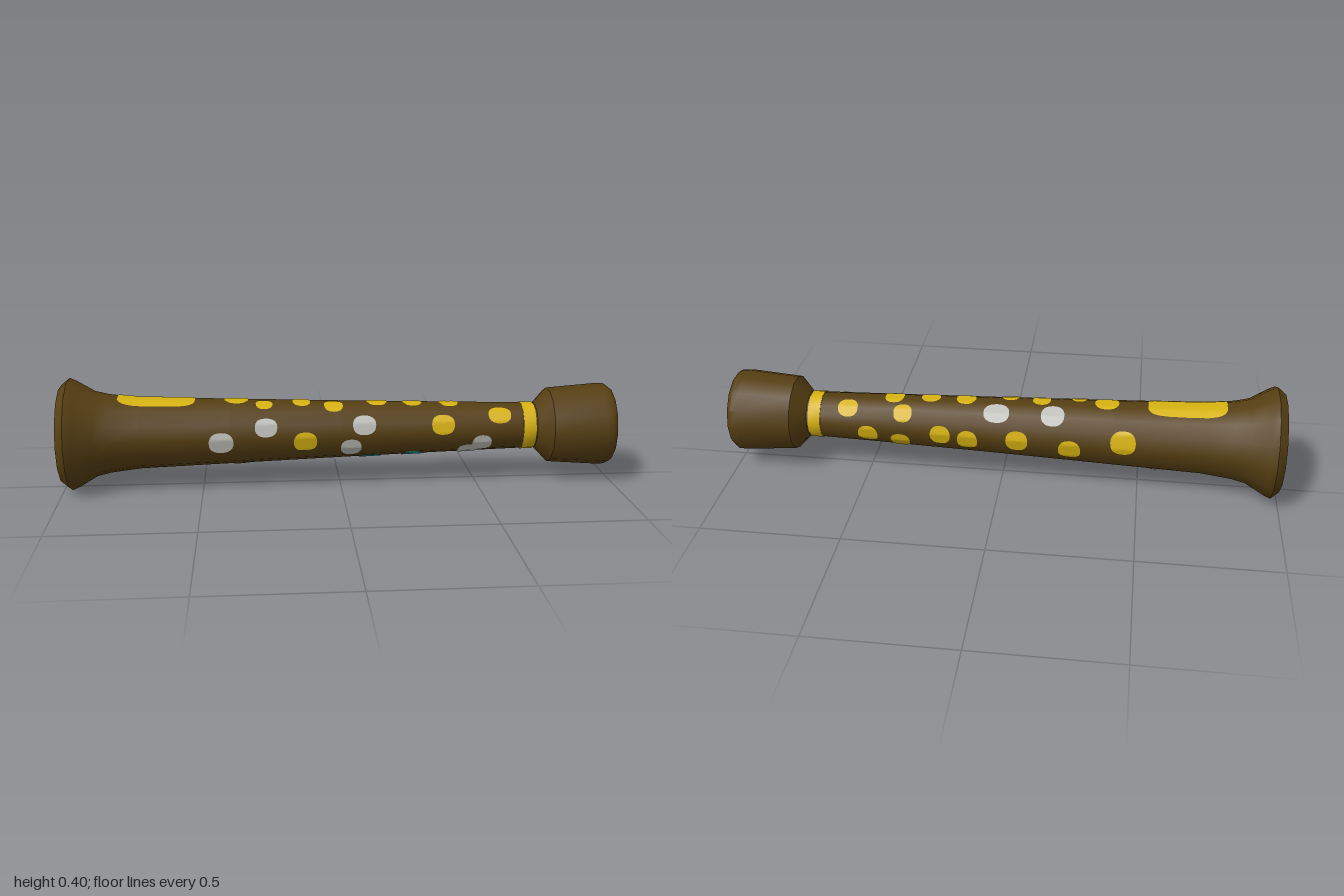
import * as THREE from 'three';
import { toCreasedNormals } from 'three/addons/utils/BufferGeometryUtils.js';

const SIDES = 14, AXIS_Y = 0.192, STEP = (Math.PI * 2) / SIDES;

// outer outline along the tube: [x, radius]
const OUTLINE = [
  [-1, 0.178], [-0.97, 0.203], [-0.945, 0.192], [-0.88, 0.154], [-0.83, 0.142], [-0.72, 0.129],
  [-0.4, 0.118], [0, 0.104], [0.4, 0.092], [0.72, 0.083],
];
const CAP = [[0.77, 0.137], [0.96, 0.151], [0.985, 0.15], [1, 0.139], [1, 0.103], [0.99, 0.094], [0.93, 0.092], [0.93, 0]];

function material(name, color) {
  const m = new THREE.MeshStandardMaterial({ color });
  m.name = name;
  return m;
}

// faceted turning along the x axis
function turned(points) {
  const g = new THREE.LatheGeometry(points.map(([x, r]) => new THREE.Vector2(r, x)), SIDES);
  g.rotateZ(-Math.PI / 2);
  return toCreasedNormals(g, 0.6);
}

function radiusAt(x) {
  let i = 0;
  while (i < OUTLINE.length - 2 && x > OUTLINE[i + 1][0]) i++;
  const [x0, r0] = OUTLINE[i], [x1, r1] = OUTLINE[i + 1];
  return r0 + ((r1 - r0) * (x - x0)) / (x1 - x0);
}

// thin patch that follows the faceted tube; angle runs from the top toward the front
function patch(x, degrees, halfLength, halfArc, power) {
  const g = new THREE.RingGeometry(0, 1, 24, 6);
  const p = g.attributes.position, centre = THREE.MathUtils.degToRad(degrees), R = radiusAt(x);
  for (let i = 0; i < p.count; i++) {
    const px = p.getX(i), py = p.getY(i), d = Math.hypot(px, py) || 1;
    const u = Math.sign(px) * Math.pow(Math.abs(px) / d, power) * d;
    const v = Math.sign(py) * Math.pow(Math.abs(py) / d, power) * d;
    const X = x + u * halfLength, a = centre - (v * halfArc) / R;
    const turn = a - Math.PI / 2;
    const off = turn - Math.floor(turn / STEP) * STEP - STEP / 2;
    const r = (radiusAt(X) * Math.cos(STEP / 2)) / Math.cos(off) + 0.003;
    p.setXYZ(i, X, r * Math.cos(a), r * Math.sin(a));
  }
  g.computeVertexNormals();
  return g;
}

export function createModel() {
  const model = new THREE.Group();
  model.name = 'tubeInstrument';
  const brown = material('dark brown', 0x553e12);
  const yellow = material('golden yellow', 0xd6b211);
  const grey = material('pale grey', 0xbdbdb8);
  const teal = material('teal', 0x259490);

  const add = (name, geometry, mat) => {
    const mesh = new THREE.Mesh(geometry, mat);
    mesh.name = name;
    mesh.position.y = AXIS_Y;
    model.add(mesh);
  };

  // flared body, and the cap with its recess
  add('body', turned([[-1, 0], ...OUTLINE]), brown);
  add('endCap', turned([OUTLINE[OUTLINE.length - 1], ...CAP]), brown);
  add('lens', turned([[0.932, 0.091], [0.937, 0.06], [0.94, 0]]), yellow);
  add('neckBand', turned([[0.668, 0.085], [0.668, 0.0875], [0.714, 0.0862], [0.714, 0.083]]), yellow);

  // long plate on top
  add('topPlate', patch(-0.66, 0, 0.14, 0.062, 0.5), yellow);

  // spots: [x, degrees from the top toward the front, half length, half arc]
  const spots = {
    yellow: [
      [-0.375, 0, 0.045, 0.037], [-0.275, 18, 0.03, 0.03], [-0.14, 5, 0.034, 0.035], [-0.025, 20, 0.034, 0.036],
      [0.135, 1, 0.038, 0.033], [0.265, 2, 0.037, 0.03], [0.4, 0, 0.037, 0.035],
      [-0.13, 99, 0.042, 0.036], [0.37, 70, 0.042, 0.037], [0.58, 48, 0.042, 0.033],
      [0.36, -47, 0.034, 0.034], [0.565, -41, 0.037, 0.034],
      [0.49, -106, 0.037, 0.037], [0.37, -120, 0.037, 0.037], [0.22, -92, 0.037, 0.037], [0.12, -100, 0.037, 0.04],
      [-0.06, -92, 0.04, 0.04], [-0.25, -102, 0.04, 0.04], [-0.44, -79, 0.045, 0.045],
      [0.03, -172, 0.042, 0.036], [-0.14, -175, 0.045, 0.037], [-0.36, 174, 0.04, 0.035], [-0.55, -158, 0.045, 0.04],
    ],
    grey: [
      [-0.43, 96, 0.044, 0.038], [-0.27, 70, 0.04, 0.034], [0.083, 68, 0.042, 0.036], [0.035, 117, 0.038, 0.036],
      [0.515, 120, 0.036, 0.036], [0.465, 146, 0.038, 0.038],
      [-0.185, -36, 0.042, 0.04], [0.018, -36, 0.047, 0.037],
    ],
    teal: [[0.11, 163, 0.042, 0.036], [0.265, 158, 0.042, 0.036]],
  };
  for (const mat of [['yellow', yellow], ['grey', grey], ['teal', teal]]) {
    spots[mat[0]].forEach(([x, deg, l, a], i) => add(`${mat[0]}Spot${i + 1}`, patch(x, deg, l, a, 0.85), mat[1]));
  }
  return model;
}
